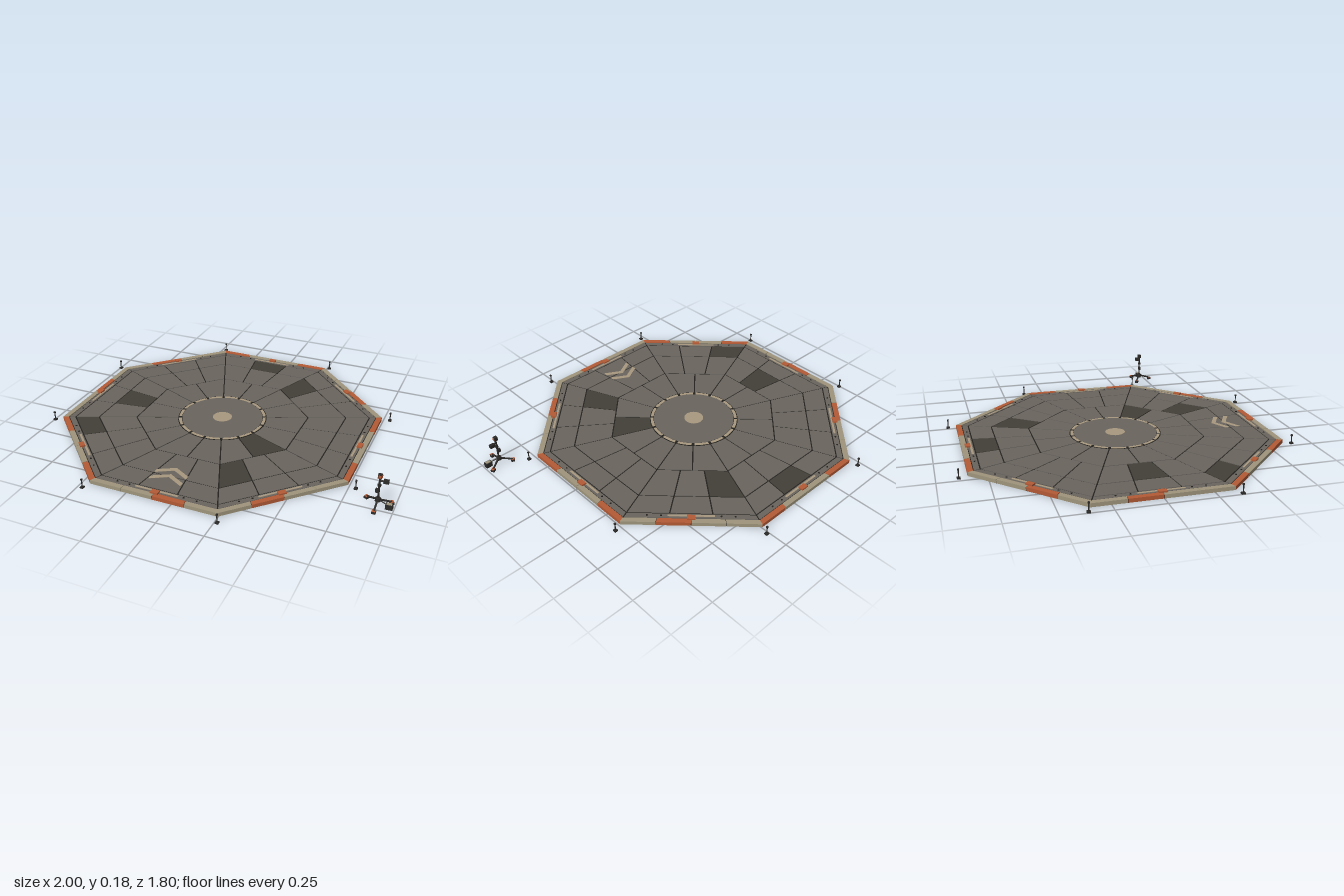
import * as THREE from 'three';

const mat = (name, color, extra = {}) => {
  const m = new THREE.MeshStandardMaterial({ color, ...extra });
  m.name = name;
  return m;
};

export function createModel() {
  const M = {
    floor: mat('floorGrey', 0x69645e),
    patch: mat('darkPanel', 0x433f38),
    seam: mat('seamBlack', 0x23211d),
    rim: mat('rimTan', 0x9f957c),
    orange: mat('orangePaint', 0xb35a35),
    mark: mat('markingTan', 0xa8987f),
    metal: mat('blackMetal', 0x2b2a28),
  };
  const root = new THREE.Group();
  root.name = 'landingPad';
  const pad = new THREE.Group();
  pad.name = 'pad';
  pad.position.x = -0.104;
  root.add(pad);

  const add = (parent, name, geo, material, x = 0, y = 0, z = 0) => {
    const m = new THREE.Mesh(geo, material);
    m.name = name;
    m.position.set(x, y, z);
    parent.add(m);
    return m;
  };
  // Flat slab from an outline of [x, z] points between two heights
  const slab = (parent, name, pts, y0, y1, material) => {
    const shape = new THREE.Shape(pts.map(([x, z]) => new THREE.Vector2(x, -z)));
    const geo = new THREE.ExtrudeGeometry(shape, { depth: y1 - y0, bevelEnabled: false });
    geo.rotateX(-Math.PI / 2);
    return add(parent, name, geo, material, 0, y0, 0);
  };
  const box = (parent, name, w, h, d, material, x, y, z) =>
    add(parent, name, new THREE.BoxGeometry(w, h, d), material, x, y, z);
  const rod = (parent, name, a, b, r, material) => {
    const p = new THREE.Vector3(...a), q = new THREE.Vector3(...b);
    const m = add(parent, name, new THREE.CylinderGeometry(r, r, p.distanceTo(q), 8), material);
    m.position.copy(p).add(q).multiplyScalar(0.5);
    m.quaternion.setFromUnitVectors(new THREE.Vector3(0, 1, 0), q.sub(p).normalize());
    return m;
  };

  const T = Math.tan(Math.PI / 8); // half side length per unit of inradius
  // Point on a side: n outward from the centre, t along the side
  const at = (k, n, t) => {
    const a = k * Math.PI / 4, c = Math.cos(a), s = Math.sin(a);
    return [n * c - t * s, n * s + t * c];
  };
  // Wedge cell i of count within side k, shrunk by a gap on every edge
  const cell = (k, n0, n1, i, count, gap) => {
    const f0 = T * (2 * i / count - 1), f1 = T * (2 * (i + 1) / count - 1);
    const a = n0 + gap, b = n1 - gap;
    return [at(k, a, a * f0 + gap), at(k, b, b * f0 + gap),
      at(k, b, b * f1 - gap), at(k, a, a * f1 - gap)];
  };

  // Octagonal base, which shows as the dark seams
  const ring = (n) => Array.from({ length: 8 }, (_, k) => at(k, n, n * T));
  slab(pad, 'base', ring(0.842), 0, 0.017, M.seam);

  // Floor panel rings: inner n, outer n, panels per side
  const rings = [[0.2, 0.455, 2], [0.455, 0.655, 3], [0.655, 0.78, 3]];
  const darkPanels = ['6:2:1', '7:1:0', '4:1:1', '1:0:0', '1:1:2', '3:2:2'];
  const orangeRim = [[0, 3], [2], [1], [0, 3], [2], [1], [0, 3], [2]];

  for (let k = 0; k < 8; k++) {
    rings.forEach(([n0, n1, count], r) => {
      for (let i = 0; i < count; i++) {
        const dark = darkPanels.includes(`${k}:${r}:${i}`);
        slab(pad, dark ? 'darkFloorPanel' : 'floorPanel', cell(k, n0, n1, i, count, 0.0035),
          0.016, 0.0205, dark ? M.patch : M.floor);
      }
    });
    // Narrow border strip with a painted line and rivets
    slab(pad, 'borderStrip', cell(k, 0.78, 0.816, 0, 1, 0.0035), 0.016, 0.0205, M.floor);
    const line = [[0.79, -0.118], [0.802, -0.118], [0.802, 0.118], [0.79, 0.118]];
    slab(pad, 'borderLine', line.map(([n, t]) => at(k, n, t)), 0.0205, 0.022, M.mark);
    for (const t of [-0.22, -0.15, 0.15, 0.22]) {
      const [x, z] = at(k, 0.797, t);
      add(pad, 'rivet', new THREE.CylinderGeometry(0.005, 0.005, 0.004, 8), M.seam, x, 0.021, z);
    }
    // Coloured rim blocks, four per side
    for (let i = 0; i < 4; i++) {
      const orange = orangeRim[k].includes(i);
      const f0 = T * (i / 2 - 1), f1 = T * ((i + 1) / 2 - 1), g0 = i ? 0.0015 : 0, g1 = i < 3 ? 0.0015 : 0;
      const a = 0.817, b = 0.846;
      slab(pad, orange ? 'orangeRimBlock' : 'rimBlock',
        [at(k, a, a * f0 + g0), at(k, b, b * f0 + g0), at(k, b, b * f1 - g1), at(k, a, a * f1 - g1)],
        0.002, 0.022, orange ? M.orange : M.rim);
    }
    // Clamp at the middle of the side
    const [cx, cz] = at(k, 0.812, 0);
    box(pad, 'clamp', 0.028, 0.014, 0.042, M.orange, cx, 0.023, cz).rotation.y = -k * Math.PI / 4;

    // Marker post outside each corner
    const pa = (k + 0.5) * Math.PI / 4, px = 0.963 * Math.cos(pa), pz = 0.963 * Math.sin(pa);
    box(pad, 'postFoot', 0.018, 0.008, 0.018, M.metal, px, 0.004, pz);
    rod(pad, 'post', [px, 0, pz], [px, 0.048, pz], 0.003, M.metal);
    box(pad, 'postCap', 0.009, 0.008, 0.009, M.metal, px, 0.049, pz);
  }

  // Central turntable with a broken painted ring and a middle spot
  add(pad, 'centreSeam', new THREE.CylinderGeometry(0.254, 0.254, 0.005, 48), M.seam, 0, 0.0195, 0);
  add(pad, 'centreDisc', new THREE.CylinderGeometry(0.231, 0.231, 0.006, 48), M.floor, 0, 0.0205, 0);
  add(pad, 'centreSpot', new THREE.CylinderGeometry(0.055, 0.055, 0.003, 32), M.mark, 0, 0.0235, 0);
  for (let i = 0; i < 16; i++) {
    const a0 = (i + 0.08) * Math.PI / 8, a1 = (i + 0.92) * Math.PI / 8, pts = [];
    for (let j = 0; j <= 4; j++) {
      const a = a0 + (a1 - a0) * j / 4;
      pts.push([0.249 * Math.cos(a), 0.249 * Math.sin(a)]);
    }
    for (let j = 4; j >= 0; j--) {
      const a = a0 + (a1 - a0) * j / 4;
      pts.push([0.233 * Math.cos(a), 0.233 * Math.sin(a)]);
    }
    slab(pad, 'ringDash', pts, 0.0205, 0.0235, M.mark);
  }

  // Painted chevrons near the front edge
  for (const z of [0.575, 0.638]) {
    slab(pad, 'chevron', [[-0.09, z + 0.05], [0, z], [0.09, z + 0.05], [0.09, z + 0.077],
      [0, z + 0.027], [-0.09, z + 0.077]], 0.0205, 0.022, M.mark);
  }

  // Tripod with sensor head beside the pad
  const tripod = new THREE.Group();
  tripod.name = 'tripod';
  tripod.position.set(0.917, 0, 0.457);
  root.add(tripod);
  for (const deg of [90, 210, 330]) {
    const a = deg * Math.PI / 180, x = 0.072 * Math.cos(a), z = 0.072 * Math.sin(a);
    rod(tripod, 'leg', [0, 0.035, 0], [x, 0.012, z], 0.005, M.metal);
    box(tripod, 'foot', 0.02, 0.012, 0.02, M.metal, x, 0.006, z).rotation.y = -a;
    box(tripod, 'footPad', 0.017, 0.004, 0.017, M.orange, x, 0.0135, z).rotation.y = -a;
  }
  add(tripod, 'hub', new THREE.CylinderGeometry(0.013, 0.015, 0.018, 10), M.metal, 0, 0.034, 0);
  rod(tripod, 'mast', [0, 0.03, 0], [0, 0.165, 0], 0.005, M.metal);
  box(tripod, 'mastBox', 0.017, 0.02, 0.014, M.metal, -0.008, 0.083, 0);
  add(tripod, 'mastCollar', new THREE.CylinderGeometry(0.009, 0.009, 0.012, 8), M.metal, 0, 0.115, 0);
  rod(tripod, 'arm', [0, 0.14, 0], [0.035, 0.138, -0.008], 0.005, M.metal);
  box(tripod, 'sensor', 0.026, 0.018, 0.018, M.metal, 0.03, 0.138, -0.008);
  box(tripod, 'head', 0.02, 0.022, 0.018, M.metal, 0, 0.167, 0);
  box(tripod, 'headPlate', 0.014, 0.015, 0.004, M.orange, 0, 0.167, 0.009);
  box(tripod, 'headSidePlate', 0.004, 0.015, 0.014, M.orange, 0.01, 0.167, 0);

  // Equipment case on the side
  box(tripod, 'case', 0.036, 0.026, 0.026, M.metal, 0.06, 0.016, 0.013);
  box(tripod, 'caseLid', 0.026, 0.004, 0.017, M.rim, 0.06, 0.03, 0.013);
  rod(tripod, 'caseCable', [0, 0.035, 0], [0.05, 0.022, 0.013], 0.003, M.metal);

  return root;
}
